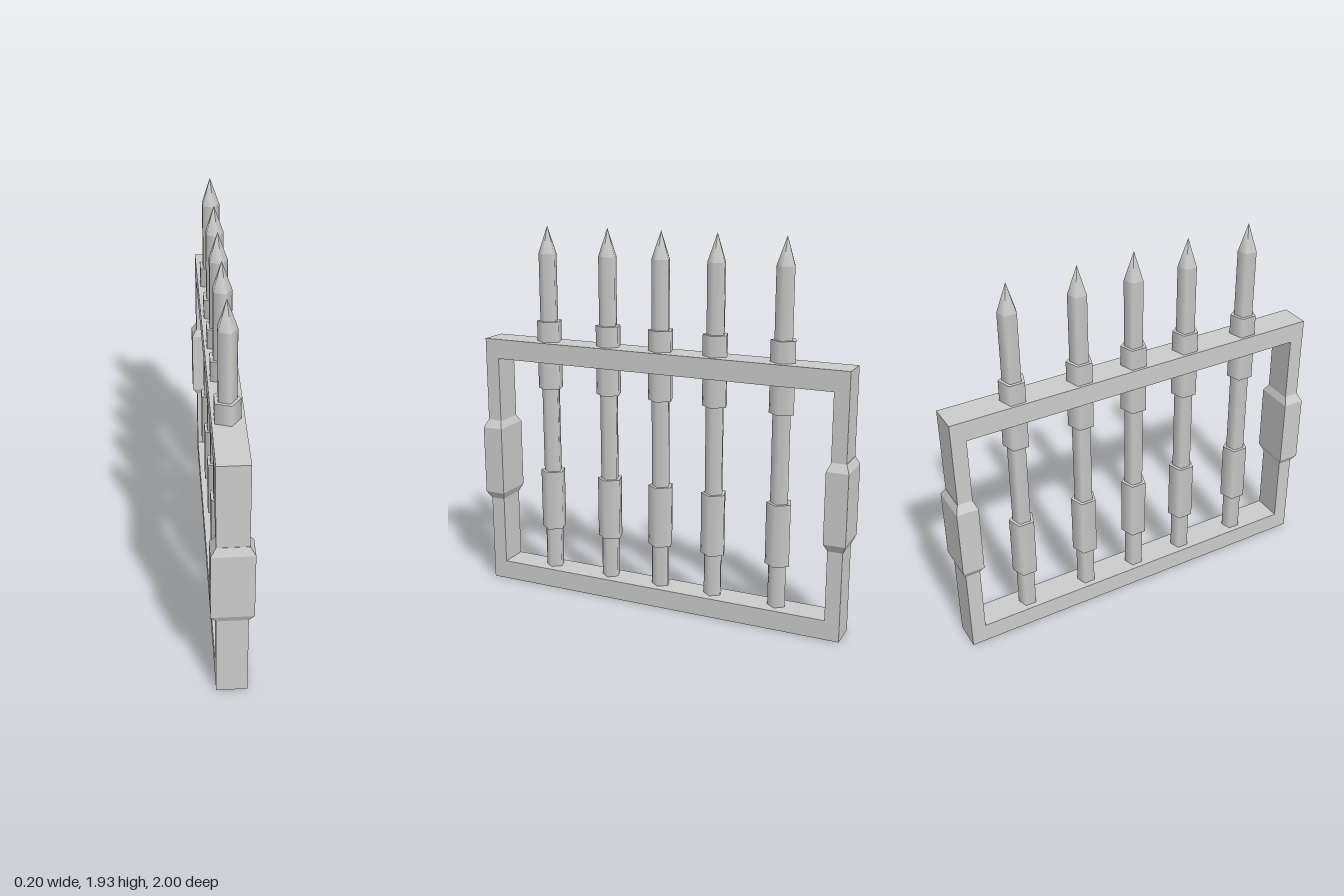
import * as THREE from 'three';

const smooth = new THREE.MeshStandardMaterial({ color: 0xcccccc });
const flat = new THREE.MeshStandardMaterial({ color: 0xcccccc, flatShading: true });

function add(parent, name, geometry, material) {
  const mesh = new THREE.Mesh(geometry, material);
  mesh.name = name;
  parent.add(mesh);
  return mesh;
}

// Rectangular frame, extruded across its thickness
function frameGeometry() {
  const rect = (s, z, y0, y1) =>
    s.moveTo(-z, y0).lineTo(z, y0).lineTo(z, y1).lineTo(-z, y1).closePath();
  const shape = rect(new THREE.Shape(), 0.98, 0, 1.34);
  shape.holes.push(rect(new THREE.Path(), 0.905, 0.1, 1.237));
  return new THREE.ExtrudeGeometry(shape, { depth: 0.15, bevelEnabled: false })
    .translate(0, 0, -0.075)
    .rotateY(Math.PI / 2);
}

// Box sleeve whose top and bottom taper in to the post
function sleeveGeometry() {
  const geometry = new THREE.BoxGeometry(0.2, 0.44, 0.11, 1, 3, 1);
  const pos = geometry.attributes.position;
  for (let i = 0; i < pos.count; i++) {
    const y = pos.getY(i);
    if (Math.abs(y) > 0.2) {
      pos.setX(i, Math.sign(pos.getX(i)) * 0.075);
      pos.setZ(i, Math.sign(pos.getZ(i)) * 0.0375);
    } else {
      pos.setY(i, Math.sign(y) * 0.18);
    }
  }
  return geometry;
}

// Five-sided prism or spike between two heights, one corner towards +x
function pentagon(rBottom, rTop, y0, y1) {
  return new THREE.CylinderGeometry(rTop, rBottom, y1 - y0, 5)
    .rotateY(Math.PI / 2)
    .translate(0, (y0 + y1) / 2, 0);
}

export function createModel() {
  const model = new THREE.Group();
  model.name = 'spikedGate';

  add(model, 'frame', frameGeometry(), flat);

  // Sleeves on both end posts
  for (const side of [1, -1]) {
    const sleeve = add(model, side > 0 ? 'frontSleeve' : 'backSleeve', sleeveGeometry(), flat);
    sleeve.position.set(0, 0.68, side * 0.944);
  }

  // Spiked bars with collars
  for (const z of [0.638, 0.295, 0.003, -0.29, -0.635]) {
    const bar = new THREE.Group();
    bar.name = 'bar';
    bar.position.set(-0.008, 0, z);
    add(bar, 'shaft', pentagon(0.048, 0.048, 0.08, 1.79), smooth);
    add(bar, 'spike', pentagon(0.048, 0, 1.79, 1.93), smooth);
    add(bar, 'lowerCollar', pentagon(0.066, 0.066, 0.32, 0.64), smooth);
    add(bar, 'upperCollar', pentagon(0.066, 0.066, 1.09, 1.445), smooth);
    model.add(bar);
  }
  return model;
}
